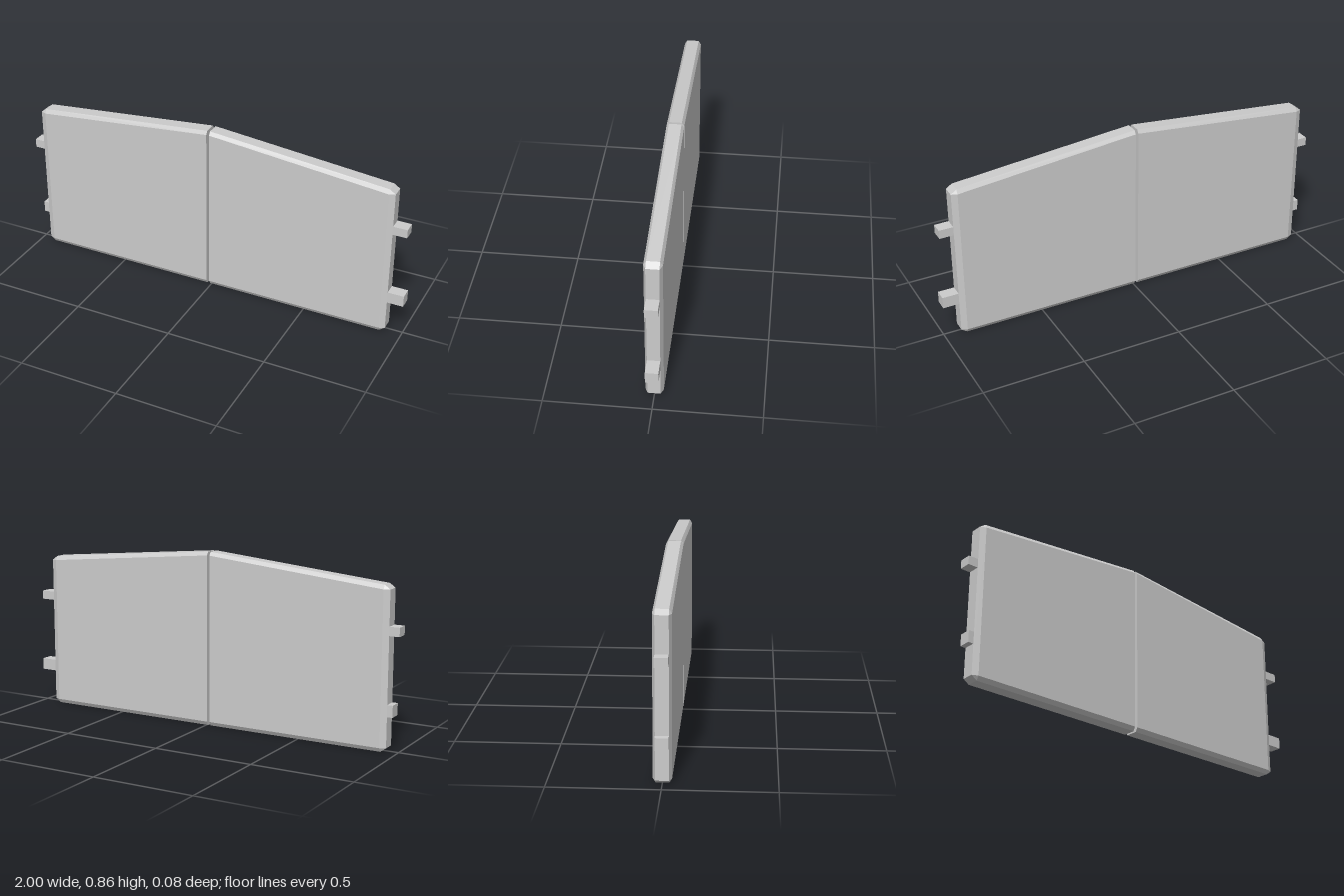
import * as THREE from 'three';
import { ConvexGeometry } from 'three/addons/geometries/ConvexGeometry.js';

const CENTRE = -0.015; // the gap between the leaves
const RIM = 0.03;      // half depth of the outer rim
const FACE = 0.042;    // half depth between the two broad faces

// One chamfered gate leaf; side is +1 or -1
function createLeaf(side, material) {
  const inner = 0.007, bevel = 0.907, end = 0.935;
  const points = [];
  const add = (x, y, z) => {
    for (const s of [1, -1]) points.push(new THREE.Vector3(CENTRE + side * x, y, s * z));
  };
  // bottom and sloping top edges
  add(inner, 0, RIM);
  add(bevel, 0, RIM);
  add(inner, 0.862, RIM);
  add(bevel, 0.777, RIM);
  // outer end
  add(end, 0.02, RIM);
  add(end, 0.757, RIM);
  // broad front and back faces
  add(inner, 0.02, FACE);
  add(bevel, 0.02, FACE);
  add(inner, 0.845, FACE);
  add(bevel, 0.757, FACE);
  return new THREE.Mesh(new ConvexGeometry(points), material);
}

export function createModel() {
  const group = new THREE.Group();
  const material = new THREE.MeshStandardMaterial({ color: 0xcccccc, flatShading: true });

  for (const side of [1, -1]) {
    const leaf = createLeaf(side, material);
    leaf.name = side > 0 ? 'leftGateLeaf' : 'rightGateLeaf';
    group.add(leaf);
  }

  // hinge pegs: name, inner x, outer x, bottom, top
  const pegs = [
    ['leftUpperPeg', 0.9, 0.99, 0.545, 0.588],
    ['leftLowerPeg', 0.9, 1.0, 0.168, 0.225],
    ['rightUpperPeg', -0.93, -1.0, 0.545, 0.588],
    ['rightLowerPeg', -0.93, -0.977, 0.168, 0.225],
  ];
  for (const [name, x0, x1, y0, y1] of pegs) {
    const peg = new THREE.Mesh(new THREE.BoxGeometry(Math.abs(x1 - x0), y1 - y0, RIM * 2), material);
    peg.position.set((x0 + x1) / 2, (y0 + y1) / 2, 0);
    peg.name = name;
    group.add(peg);
  }
  return group;
}
